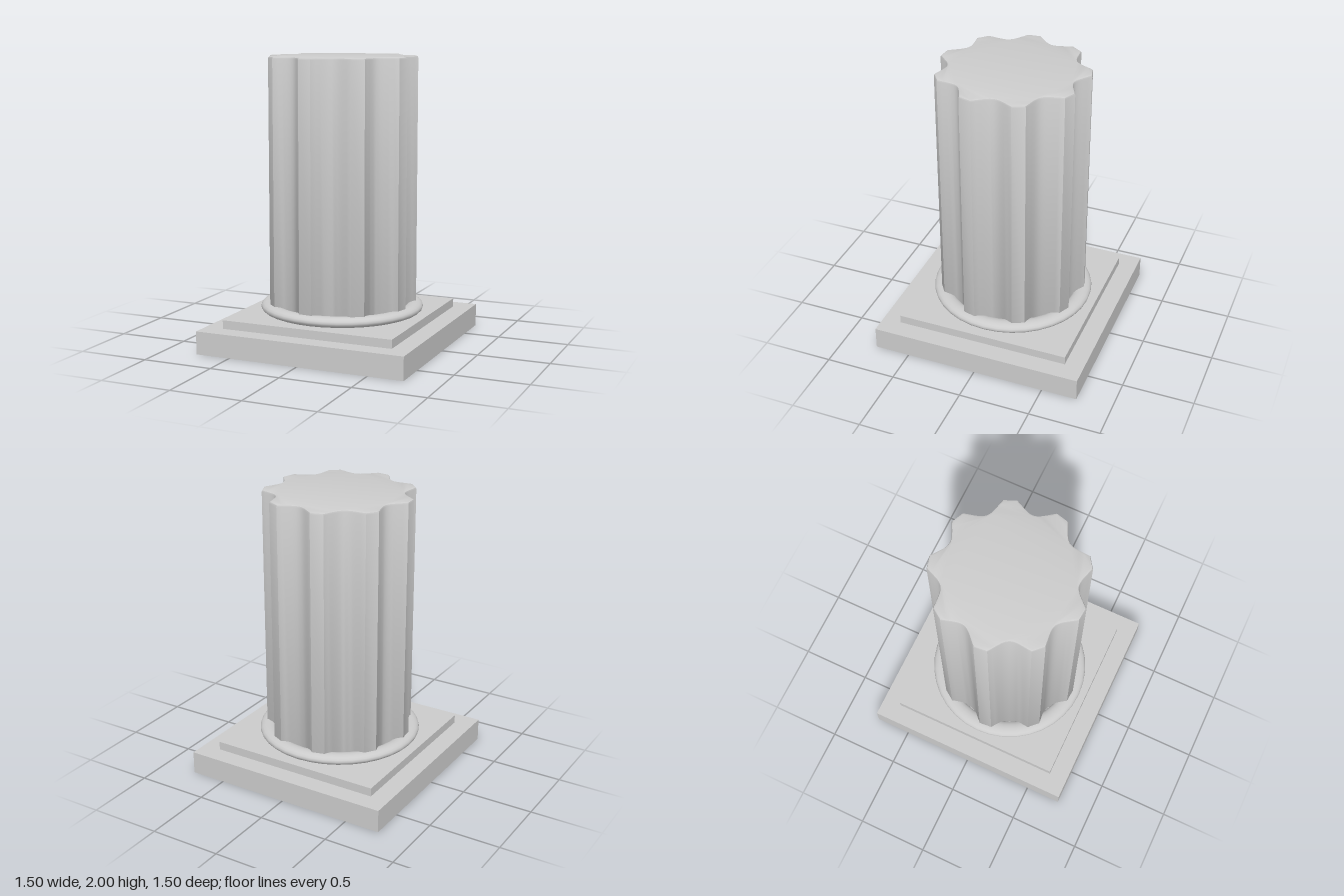
import * as THREE from 'three';
import { toCreasedNormals } from 'three/addons/utils/BufferGeometryUtils.js';

const material = new THREE.MeshStandardMaterial({ color: 0xcccccc });

function part(name, geometry, y) {
  const mesh = new THREE.Mesh(geometry, material);
  mesh.name = name;
  mesh.position.y = y;
  return mesh;
}

// Outline of the shaft: nine flat ridges 10 degrees wide, nine hollow flutes 30 degrees wide
function flutedShape(radius, depth, flutes = 9, steps = 10) {
  const points = [];
  for (let i = 0; i < flutes; i++) {
    for (let j = 0; j <= steps; j++) {
      const t = j / steps;
      const a = THREE.MathUtils.degToRad(20 + i * 40 + t * 30);
      const r = radius - depth * Math.sin(Math.PI * t);
      points.push(new THREE.Vector2(r * Math.cos(a), -r * Math.sin(a)));
    }
  }
  return new THREE.Shape(points);
}

export function createModel() {
  const model = new THREE.Group();
  model.name = 'column';

  // Stepped square base
  model.add(part('plinth', new THREE.BoxGeometry(1.5, 0.16, 1.5), 0.08));
  model.add(part('upperPlinth', new THREE.BoxGeometry(1.235, 0.06, 1.235), 0.19));

  // Flattened round moulding under the shaft
  const ring = new THREE.TorusGeometry(0.51, 0.06, 16, 36);
  ring.rotateX(Math.PI / 2);
  ring.scale(1, 0.6, 1);
  model.add(part('baseMoulding', ring, 0.256));

  // Fluted shaft with a small rounded edge at the top; its foot sits inside the base
  const bevel = 0.014;
  const shaft = new THREE.ExtrudeGeometry(flutedShape(0.52, 0.083), {
    depth: 1.8 - 2 * bevel,
    bevelThickness: bevel,
    bevelSize: bevel,
    bevelOffset: -bevel,
    bevelSegments: 2,
  });
  shaft.rotateX(-Math.PI / 2);
  model.add(part('flutedShaft', toCreasedNormals(shaft, 0.5), 0.2 + bevel));

  return model;
}
